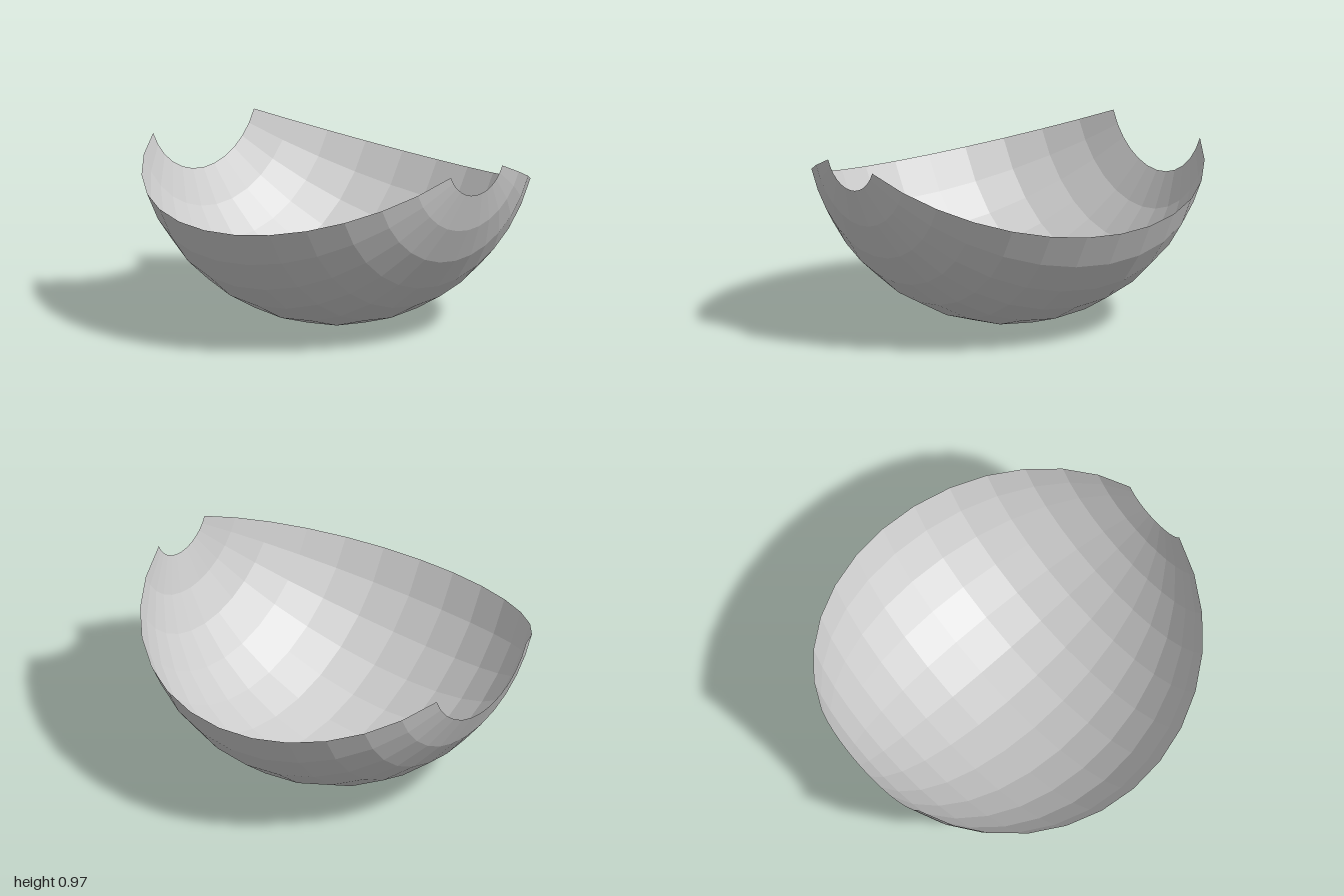
import * as THREE from 'three';

const STEP = Math.PI / 16; // one facet of the sphere

export function createModel() {
  const model = new THREE.Group();
  model.name = 'bowlSection';

  // 135 degree slice of a faceted sphere, open at both poles (small opening at +x, wider at -x)
  const radius = 2 / (Math.sin(6 * STEP) + Math.sin(7 * STEP));
  const geometry = new THREE.SphereGeometry(radius, 12, 13, 10 * STEP, 12 * STEP, STEP, 13 * STEP);

  // Lay the polar axis along x, then stand the lowest point on the ground
  geometry.rotateZ(-Math.PI / 2);
  geometry.translate(1 - radius * Math.sin(7 * STEP), radius, 0);

  const shell = new THREE.Mesh(geometry, new THREE.MeshStandardMaterial({
    color: 0xcccccc, flatShading: true, side: THREE.DoubleSide,
  }));
  shell.name = 'shell';
  model.add(shell);
  return model;
}
